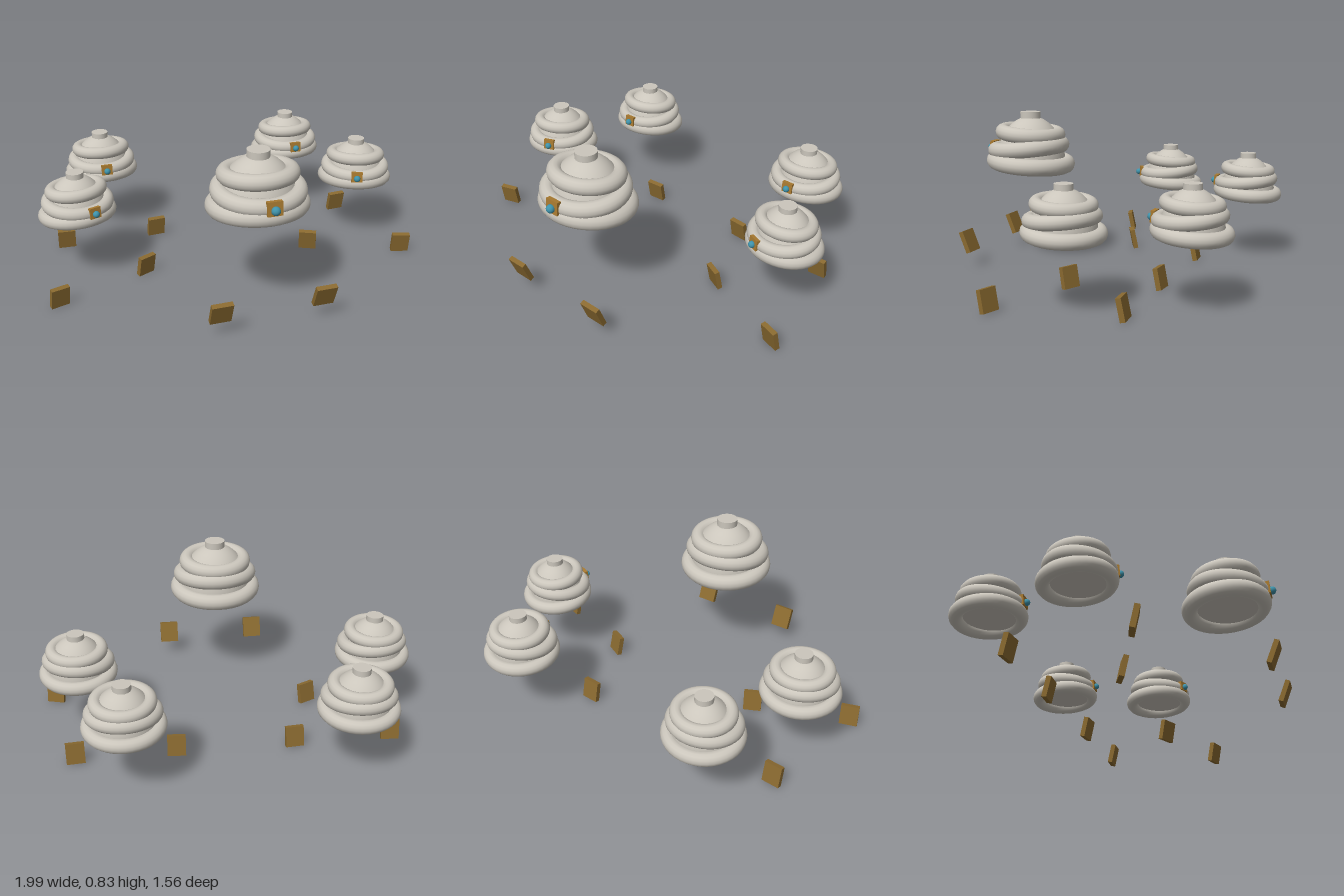
import * as THREE from 'three';

const cloth = new THREE.MeshStandardMaterial({ color: 0xcbc6bc });
const gold = new THREE.MeshStandardMaterial({ color: 0xa87a30 });
const bronze = new THREE.MeshStandardMaterial({ color: 0x8a6a30 });
const blue = new THREE.MeshStandardMaterial({ color: 0x3f93ab });

function part(name, geometry, material, x = 0, y = 0, z = 0) {
  const mesh = new THREE.Mesh(geometry, material);
  mesh.name = name;
  mesh.position.set(x, y, z);
  return mesh;
}

// Wound turban: origin at the lowest point of its rim, facing +z
function makeTurban() {
  const turban = new THREE.Group();
  turban.name = 'turban';

  // Inner cap with a closed underside
  const profile = [new THREE.Vector2(0, 0.045), new THREE.Vector2(0.2, 0.045)];
  for (let i = 0; i <= 12; i++) {
    const a = (i / 12) * Math.PI / 2;
    profile.push(new THREE.Vector2(0.2 * Math.cos(a), 0.045 + 0.263 * Math.sin(a)));
  }
  const cap = part('cap', new THREE.LatheGeometry(profile, 32), cloth);
  cap.scale.z = 0.94;
  turban.add(cap);

  // Wrapped rolls, tilted alternately: [radius, tube, height, z, tilt]
  const rolls = [
    [0.21, 0.045, 0.057, 0, -0.085],
    [0.192, 0.043, 0.136, 0.012, 0.085],
    [0.16, 0.041, 0.215, 0, -0.085],
  ];
  for (const [radius, tube, y, z, tilt] of rolls) {
    const geometry = new THREE.TorusGeometry(radius, tube, 14, 40);
    geometry.rotateX(Math.PI / 2);
    geometry.scale(1, 1, 0.94);
    const roll = part('roll', geometry, cloth, 0, y, z);
    roll.rotation.x = tilt;
    turban.add(roll);
  }

  // Top knob
  turban.add(part('knob', new THREE.CylinderGeometry(0.056, 0.056, 0.05, 20), cloth, 0, 0.307, 0));

  // Brooch on the brow
  const plate = part('broochPlate', new THREE.BoxGeometry(0.075, 0.07, 0.024), gold, 0, 0.13, 0.225);
  plate.rotation.x = -0.1;
  turban.add(plate);
  turban.add(part('broochGem', new THREE.SphereGeometry(0.022, 16, 12), blue, 0, 0.125, 0.244));
  return turban;
}

// Pair of leaning plates in front of a turban
function makeCuffs(size, halfGap, y, z, lean, yaw) {
  const cuffs = new THREE.Group();
  cuffs.name = 'cuffs';
  for (const side of [-1, 1]) {
    const cuff = part(side > 0 ? 'leftCuff' : 'rightCuff', new THREE.BoxGeometry(...size), bronze, side * halfGap, y, z);
    cuff.rotation.order = 'YXZ';
    cuff.rotation.set(lean, side * yaw, 0);
    cuffs.add(cuff);
  }
  return cuffs;
}

export function createModel() {
  const model = new THREE.Group();
  model.name = 'turbanGroup';

  // Large leading figure
  const leader = new THREE.Group();
  leader.name = 'leader';
  leader.position.z = 0.5;
  const bigTurban = makeTurban();
  bigTurban.position.y = 0.498;
  leader.add(bigTurban, makeCuffs([0.105, 0.12, 0.025], 0.26, 0.14, 0.25, 0.38, 0));
  model.add(leader);

  // Four smaller figures, mirrored left and right: [x, z, inward turn]
  for (const [x, z, turn] of [[0.785, -0.06, 0.37], [0.565, -0.59, 0]]) {
    for (const side of [-1, 1]) {
      const figure = new THREE.Group();
      figure.name = side > 0 ? 'leftFigure' : 'rightFigure';
      figure.position.set(side * x, 0, z);
      figure.rotation.y = -side * turn;
      const turban = makeTurban();
      turban.scale.setScalar(0.8);
      turban.position.y = 0.32;
      figure.add(turban, makeCuffs([0.095, 0.11, 0.026], 0.257, 0.06, 0.232, 0.2, 0.07));
      model.add(figure);
    }
  }
  return model;
}
